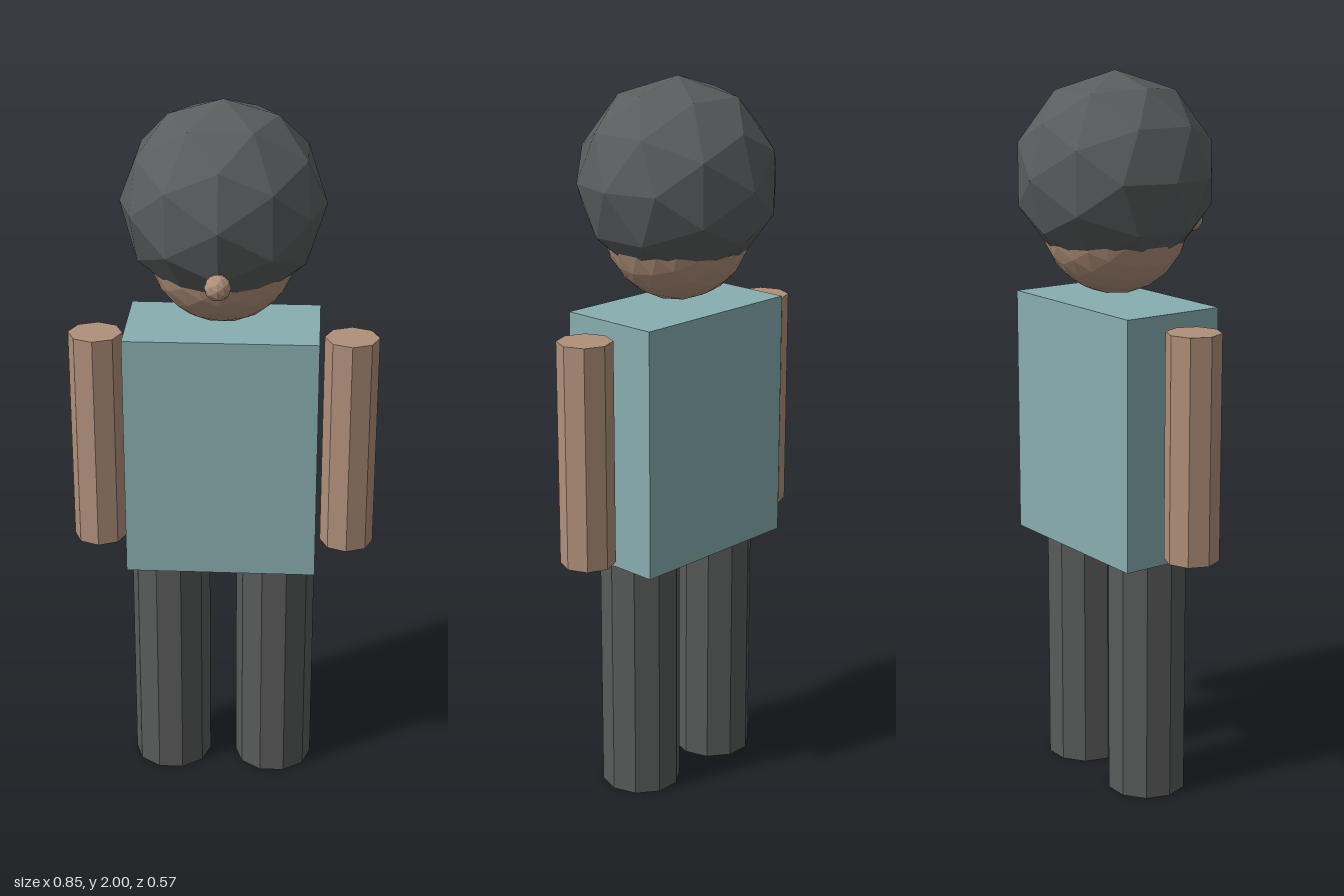
import * as THREE from 'three';

const flat = (name, color) => {
  const m = new THREE.MeshStandardMaterial({ color });
  m.name = name;
  m.flatShading = true;
  return m;
};

export function createModel() {
  const skin = flat('skin', 0xb0907a);
  const shirt = flat('shirt', 0x88aeb0);
  const trousers = flat('trousers', 0x595a5a);
  const hairColor = flat('hair', 0x595d5e);

  const model = new THREE.Group();
  model.name = 'figure';
  const Z = -0.01; // body axis

  const add = (name, geometry, material, x, y, z = Z) => {
    const mesh = new THREE.Mesh(geometry, material);
    mesh.name = name;
    mesh.position.set(x, y, z);
    model.add(mesh);
    return mesh;
  };

  // Upright prism with a corner on the x axis
  const limb = (radius, height, sides) =>
    new THREE.CylinderGeometry(radius, radius, height, sides).rotateY(Math.PI / 2);

  // Torso
  add('torso', new THREE.BoxGeometry(0.526, 0.691, 0.3), shirt, 0, 1.0375);

  // Arms and legs, mirrored
  for (const [side, s] of [['left', 1], ['right', -1]]) {
    add(`${side}Arm`, limb(0.075, 0.621, 8), skin, s * 0.351, 1.0375, -0.011);
    add(`${side}Leg`, limb(0.112, 0.692, 10), trousers, s * 0.15, 0.346);
  }

  // Head with a nose, and a large faceted ball of hair over it
  add('head', new THREE.IcosahedronGeometry(0.2, 3), skin, 0, 1.6);
  add('nose', new THREE.IcosahedronGeometry(0.035, 1), skin, 0, 1.58, 0.25);
  add('hair', new THREE.IcosahedronGeometry(0.275, 1), hairColor, 0, 1.725);

  return model;
}
